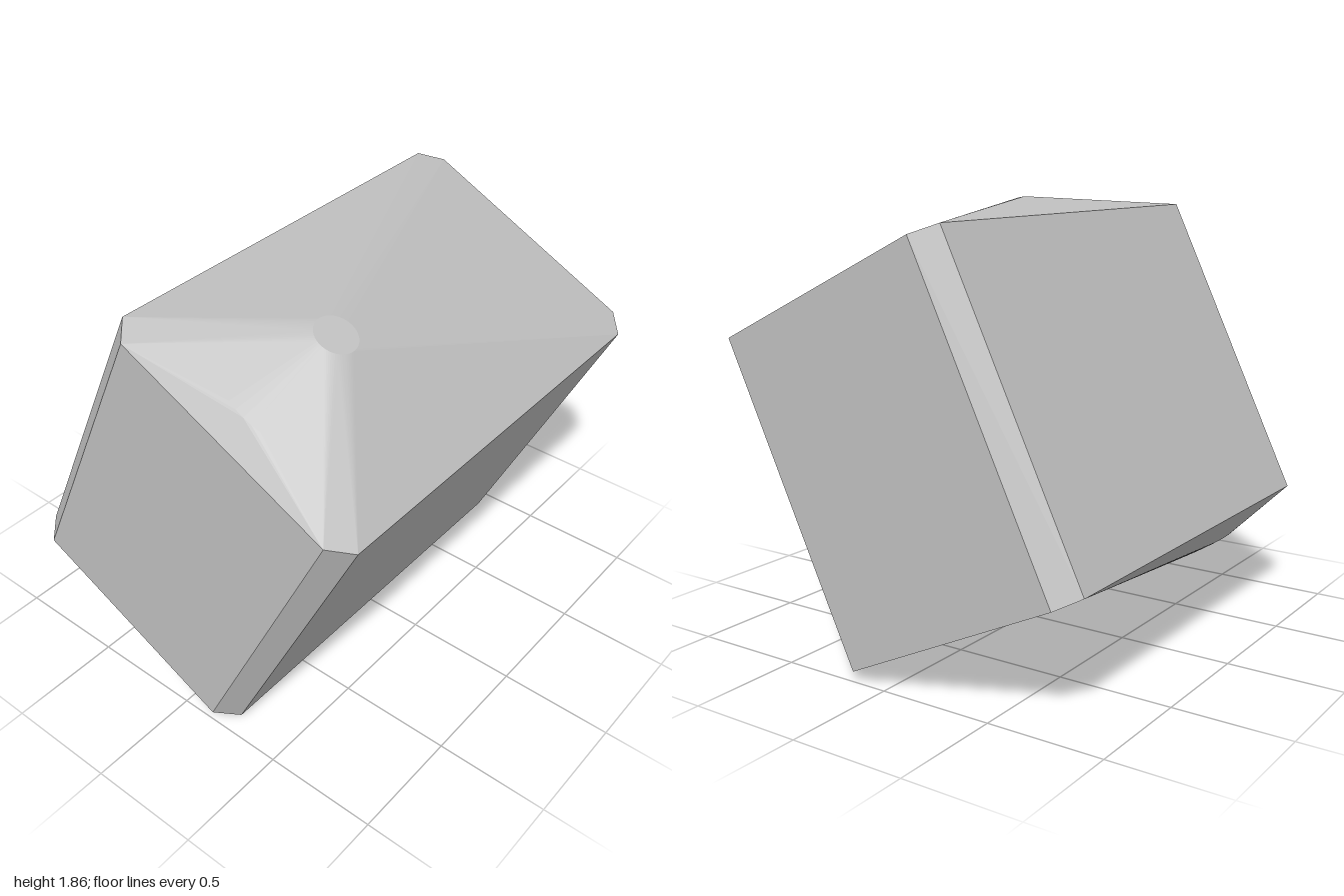
import * as THREE from 'three';
import { ConvexGeometry } from 'three/addons/geometries/ConvexGeometry.js';

const WIDTH = 0.61, DEPTH = 1, HALF_HEIGHT = 0.715, CHAMFER = 0.09;
const DOME_Z = 0.51, TILT = -0.448, CENTRE_Y = 0.916;

// Octagonal outline of the box with chamfered upright edges
function chamferedRing(y) {
  const w = WIDTH, d = DEPTH, c = CHAMFER;
  return [
    [w - c, d], [w, d - c], [w, -d + c], [w - c, -d],
    [-w + c, -d], [-w, -d + c], [-w, d - c], [-w + c, d],
  ].map(([x, z]) => new THREE.Vector3(x, y, z));
}

// Circular section, set towards the front of the box
function circleRing(radius, y, sides = 64) {
  return Array.from({ length: sides }, (_, i) => {
    const a = (i / sides) * Math.PI * 2;
    return new THREE.Vector3(radius * Math.cos(a), y, DOME_Z + radius * Math.sin(a));
  });
}

export function createModel() {
  const grey = new THREE.MeshStandardMaterial({ color: 0xc0c0c0 });
  grey.name = 'plain grey';

  // Chamfered box drawn out to a shallow round foot and a small flat peak
  const points = [
    ...circleRing(0.41, -0.815),
    ...chamferedRing(-HALF_HEIGHT),
    ...chamferedRing(HALF_HEIGHT),
    ...circleRing(0.41, 0.816),
    ...circleRing(0.088, 1.006),
  ];
  const body = new THREE.Mesh(new ConvexGeometry(points), grey);
  body.name = 'body';
  body.rotation.z = TILT;
  body.position.y = CENTRE_Y;

  const model = new THREE.Group();
  model.name = 'tilted block';
  model.add(body);
  return model;
}
